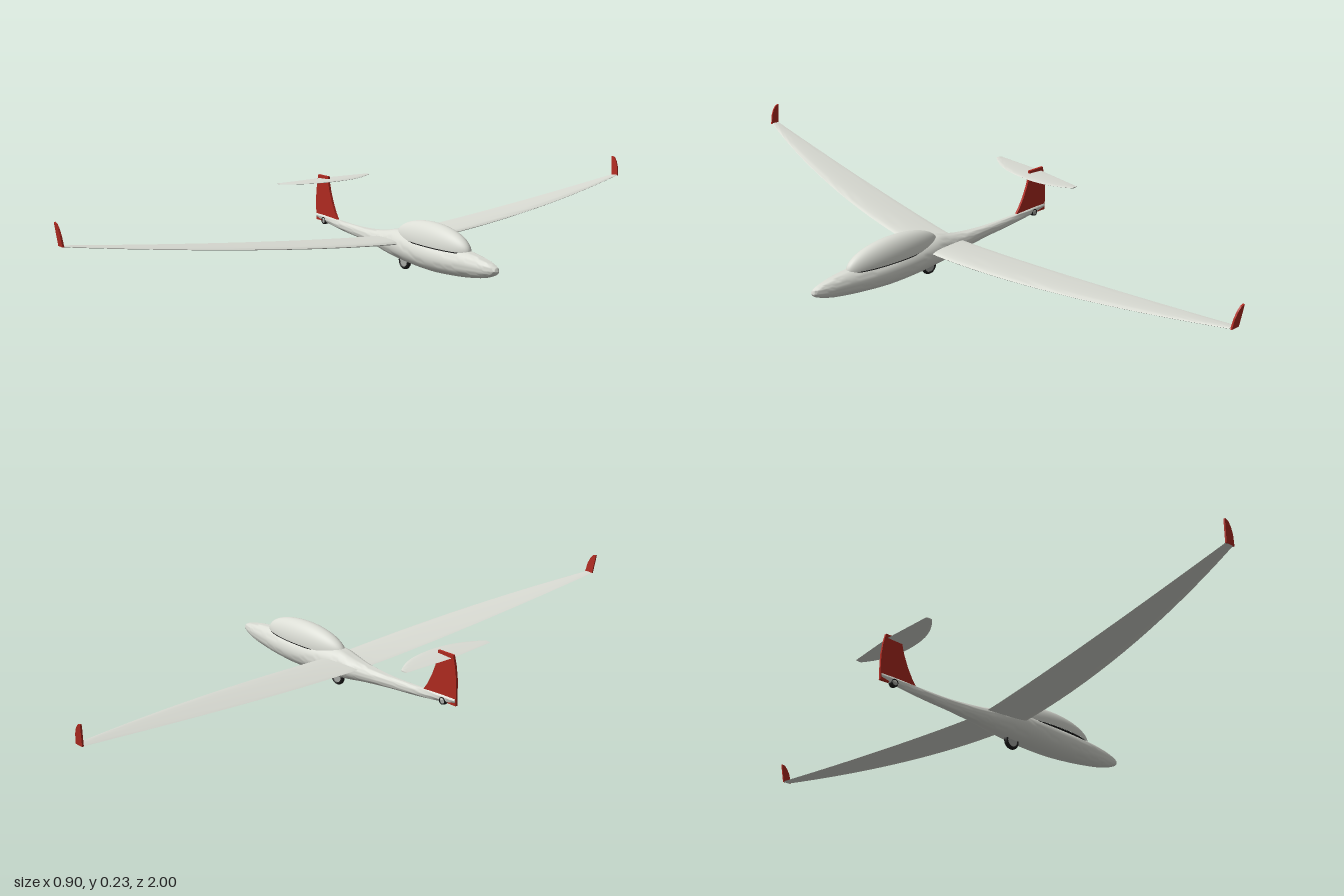
import * as THREE from 'three';
import { toCreasedNormals } from 'three/addons/utils/BufferGeometryUtils.js';

const material = (name, color) => {
  const m = new THREE.MeshStandardMaterial({ color });
  m.name = name;
  return m;
};

// Skin a list of equal-sized rings of points and close both ends.
function loft(rings, crease = 0.7) {
  const n = rings[0].length, pos = [], index = [];
  rings.forEach(r => r.forEach(p => pos.push(...p)));
  for (let i = 0; i < rings.length - 1; i++) {
    for (let j = 0; j < n; j++) {
      const k = (j + 1) % n;
      const a = i * n + j, b = i * n + k, c = b + n, d = a + n;
      index.push(a, b, c, a, c, d);
    }
  }
  const last = (rings.length - 1) * n;
  for (let j = 1; j < n - 1; j++) {
    index.push(0, j + 1, j, last, last + j, last + j + 1);
  }
  const g = new THREE.BufferGeometry();
  g.setAttribute('position', new THREE.Float32BufferAttribute(pos, 3));
  g.setIndex(index);
  return toCreasedNormals(g, crease);
}

// Airfoil ring in the xy plane, leading edge at +x.
function airfoil(lead, trail, y, thick, z) {
  return Array.from({ length: 20 }, (_, i) => {
    const t = i / 20 * Math.PI * 2, c = Math.cos(t);
    return [trail + (lead - trail) * (0.5 + 0.5 * c),
      y + thick / 2 * Math.sin(t) * (0.7 + 0.4 * c), z];
  });
}

// Full-span surface, symmetric about z = 0.
function span(half, section, steps = 48) {
  return loft(Array.from({ length: steps + 1 }, (_, i) => {
    const s = Math.sin((i / steps - 0.5) * Math.PI);
    return airfoil(...section(Math.abs(s)), s * half);
  }));
}

// Flat plate cut from an outline in xy, centred on z = 0.
function plate(outline, depth) {
  const shape = new THREE.Shape(outline.map(p => new THREE.Vector2(...p)));
  return new THREE.ExtrudeGeometry(shape, { depth, bevelEnabled: false }).translate(0, 0, -depth / 2);
}

export function createModel() {
  const model = new THREE.Group();
  model.name = 'glider';
  const white = material('gelcoat white', 0xdadcd4);
  const red = material('trim red', 0xb02a20);
  const black = material('rubber black', 0x1c1c1c);
  const grey = material('hub grey', 0xa8aaa6);

  const add = (name, geometry, mat, parent = model) => {
    const mesh = new THREE.Mesh(geometry, mat);
    mesh.name = name;
    parent.add(mesh);
    return mesh;
  };

  // Fuselage stations: x, bottom, top, half width
  const stations = [
    [-0.447, 0.083, 0.098, 0.005], [-0.4, 0.074, 0.097, 0.007], [-0.3, 0.062, 0.092, 0.011],
    [-0.2, 0.054, 0.091, 0.015], [-0.1, 0.044, 0.098, 0.027], [-0.05, 0.037, 0.107, 0.036],
    [0, 0.031, 0.118, 0.043], [0.08, 0.025, 0.117, 0.049], [0.18, 0.022, 0.112, 0.048],
    [0.26, 0.026, 0.108, 0.042], [0.33, 0.033, 0.104, 0.033], [0.39, 0.043, 0.096, 0.023],
    [0.43, 0.056, 0.086, 0.012], [0.443, 0.064, 0.079, 0.006], [0.447, 0.071, 0.073, 0.001]
  ];
  const lower = new THREE.CatmullRomCurve3(stations.map(s => new THREE.Vector3(s[0], s[1], s[3])));
  const upper = new THREE.CatmullRomCurve3(stations.map(s => new THREE.Vector3(s[0], s[2], s[3])));
  const body = Array.from({ length: 71 }, (_, i) => {
    const a = lower.getPoint(i / 70), b = upper.getPoint(i / 70);
    return Array.from({ length: 32 }, (_, j) => {
      const t = j / 32 * Math.PI * 2;
      return [(a.x + b.x) / 2, (a.y + b.y) / 2 + (b.y - a.y) / 2 * Math.cos(t), a.z * Math.sin(t)];
    });
  });
  add('fuselage', loft(body, 1), white);

  // Canopy dome with a dark seal under its rim
  const dome = add('canopy', new THREE.SphereGeometry(1, 48, 16, 0, Math.PI * 2, 0, Math.PI / 2), white);
  dome.scale.set(0.166, 0.062, 0.042);
  dome.position.set(0.158, 0.1, 0);
  const seal = add('canopySeal', new THREE.CylinderGeometry(1, 1, 1, 48), black);
  seal.scale.set(0.165, 0.003, 0.0415);
  seal.position.set(0.158, 0.0985, 0);

  // Wing with curved leading edge and upswept tips
  add('wing', span(0.992, s => [
    0.045 - 0.163 * s ** 1.9, -0.087 - 0.056 * s,
    0.083 + 0.083 * s ** 1.3, 0.018 - 0.013 * s
  ]), white);

  // Winglets, leaning slightly outward
  const wingletOutline = [[-0.027, 0], [0.001, 0], [-0.005, 0.03], [-0.013, 0.048], [-0.023, 0.06], [-0.034, 0.063], [-0.033, 0.05]];
  for (const side of [1, -1]) {
    const winglet = add(side > 0 ? 'wingletRight' : 'wingletLeft', plate(wingletOutline, 0.005), red);
    winglet.position.set(-0.116, 0.165, side * 0.991);
    winglet.rotation.x = side * 0.1;
  }

  // Tail fin and the rudder foot behind the boom
  add('fin', plate([
    [-0.328, 0.091], [-0.342, 0.11], [-0.358, 0.14], [-0.372, 0.175], [-0.38, 0.205], [-0.38, 0.221],
    [-0.436, 0.221], [-0.444, 0.19], [-0.449, 0.155], [-0.45, 0.12], [-0.45, 0.076], [-0.42, 0.076], [-0.42, 0.091]
  ], 0.007), red);
  add('stabilizer', span(0.166, s => [
    -0.345 - 0.055 * s ** 2.4, -0.43 + 0.01 * s, 0.21, 0.008 - 0.004 * s
  ], 28), white);

  // Wheels: rubber tyre around a hub
  const wheel = (name, x, y, radius, width) => {
    const group = new THREE.Group();
    group.name = name;
    group.position.set(x, y, 0);
    const tube = radius * 0.2;
    const tyre = add('tyre', new THREE.TorusGeometry(radius - tube, tube, 12, 32), black, group);
    tyre.scale.z = width / (2 * tube);
    add('hub', new THREE.CylinderGeometry(radius * 0.7, radius * 0.7, width * 0.7, 24).rotateX(Math.PI / 2), grey, group);
    model.add(group);
  };
  wheel('mainWheel', 0.022, 0.025, 0.025, 0.014);
  wheel('tailWheel', -0.403, 0.079, 0.012, 0.018);

  return model;
}
